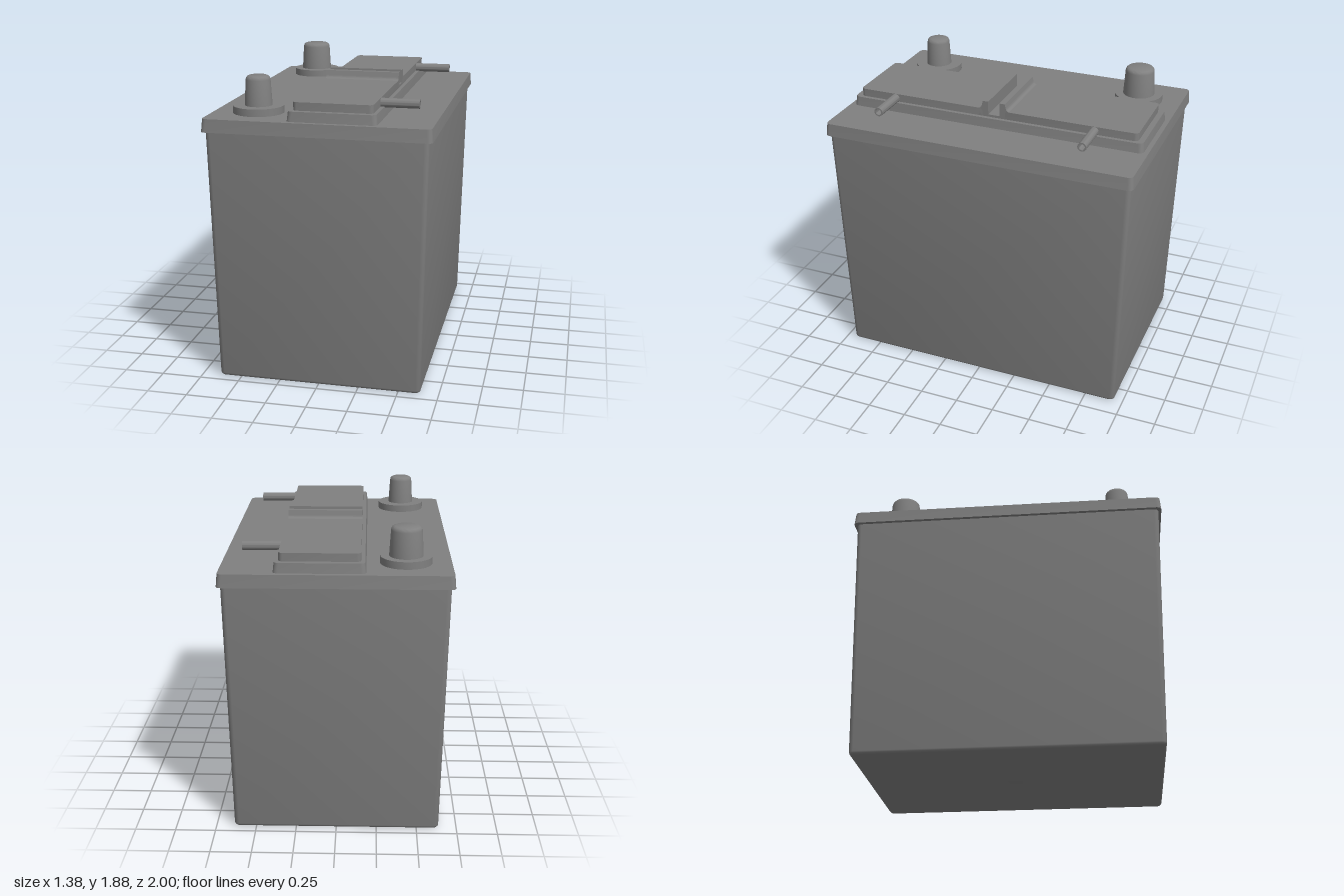
import * as THREE from 'three';
import { toCreasedNormals } from 'three/addons/utils/BufferGeometryUtils.js';

const grey = new THREE.MeshStandardMaterial({ color: 0x808080 });
grey.name = 'battery grey';

// Stack of rounded rectangles: each level is [y, half width, half depth, corner radius]
function loft(levels) {
  const steps = 4, n = 4 * (steps + 1), pos = [], index = [];
  for (const [y, hx, hz, r] of levels) {
    for (let c = 0; c < 4; c++) {
      const sx = c === 0 || c === 3 ? 1 : -1, sz = c < 2 ? 1 : -1;
      for (let s = 0; s <= steps; s++) {
        const a = (c + s / steps) * Math.PI / 2;
        pos.push(sx * (hx - r) + r * Math.cos(a), y, sz * (hz - r) + r * Math.sin(a));
      }
    }
  }
  const top = (levels.length - 1) * n, low = levels.length * n;
  pos.push(0, levels[0][0], 0, 0, levels[levels.length - 1][0], 0);
  for (let k = 0; k < n; k++) {
    const next = (k + 1) % n;
    for (let i = 0; i < top; i += n) {
      index.push(i + k, i + n + k, i + next, i + n + k, i + n + next, i + next);
    }
    index.push(low, k, next, low + 1, top + next, top + k);
  }
  const g = new THREE.BufferGeometry();
  g.setAttribute('position', new THREE.Float32BufferAttribute(pos, 3));
  g.setIndex(index);
  return toCreasedNormals(g, 0.6);
}

// Turned part from [radius, height] points
function turned(points) {
  const g = new THREE.LatheGeometry(points.map(([r, y]) => new THREE.Vector2(r, y)), 32);
  g.deleteAttribute('normal');
  g.deleteAttribute('uv');
  return toCreasedNormals(g, 0.6);
}

export function createModel() {
  const model = new THREE.Group();
  model.name = 'battery';
  const add = (name, geometry, x = 0, y = 0, z = 0) => {
    const mesh = new THREE.Mesh(geometry, grey);
    mesh.name = name;
    mesh.position.set(x, y, z);
    model.add(mesh);
    return mesh;
  };

  // Tapered case with a softened bottom edge
  add('case', loft([
    [0, 0.618, 0.925, 0.02], [0.003, 0.628, 0.935, 0.025],
    [0.01, 0.635, 0.942, 0.03], [0.02, 0.638, 0.945, 0.03],
    [1.6, 0.668, 0.982, 0.03],
  ]));
  add('lid', loft([[1.58, 0.69, 1, 0.03], [1.66, 0.683, 0.993, 0.03]]));

  // Raised vent cover with a central slot
  const cx = 0.094, hw = 0.239;
  add('ventCoverBase', loft([[1.65, 0.271, 0.965, 0.03], [1.72, 0.263, 0.957, 0.03]]), cx);
  add('slotFloor', new THREE.BoxGeometry(2 * hw, 0.035, 0.12), cx, 1.7175, 0);
  for (const side of [1, -1]) {
    add(side > 0 ? 'frontVentCover' : 'backVentCover',
      loft([[1.71, hw, 0.436, 0.025], [1.77, hw, 0.436, 0.025]]), cx, 0, side * 0.486);

    // Lip beside the slot, swept across the width
    const lip = new THREE.Shape();
    lip.moveTo(0.037, 1.71);
    lip.lineTo(0.1, 1.71);
    lip.lineTo(0.1, 1.77);
    lip.quadraticCurveTo(0.084, 1.773, 0.08, 1.79);
    lip.lineTo(0.073, 1.82);
    lip.lineTo(0.037, 1.82);
    lip.closePath();
    const g = new THREE.ExtrudeGeometry(lip, { depth: 2 * hw, bevelEnabled: false, curveSegments: 5 });
    g.translate(0, 0, -hw);
    g.rotateY(side * -Math.PI / 2);
    add(side > 0 ? 'frontSlotLip' : 'backSlotLip', g, cx);
  }

  // Terminals: the back post is thicker than the front one
  for (const [label, z, r] of [['front', 0.722, 0.085], ['back', -0.716, 0.103]]) {
    add(label + 'TerminalBase', turned([[0, 1.65], [0.155, 1.65], [0.155, 1.705], [0, 1.705]]), -0.41, 0, z);
    const t = r - 0.01;
    add(label + 'TerminalPost', turned([
      [0, 1.69], [r, 1.69], [t, 1.86], [t - 0.003, 1.872],
      [t - 0.01, 1.88], [t - 0.022, 1.885], [0, 1.885],
    ]), -0.41, 0, z);
  }

  // Hollow vent pipes
  for (const [label, z] of [['front', 0.677], ['back', -0.65]]) {
    const pipe = add(label + 'VentPipe', turned([
      [0, 0], [0.028, 0], [0.028, 0.257], [0.019, 0.257], [0.019, 0.03], [0, 0.03],
    ]), 0.31, 1.741, z);
    pipe.rotation.z = -Math.PI / 2;
  }
  return model;
}
